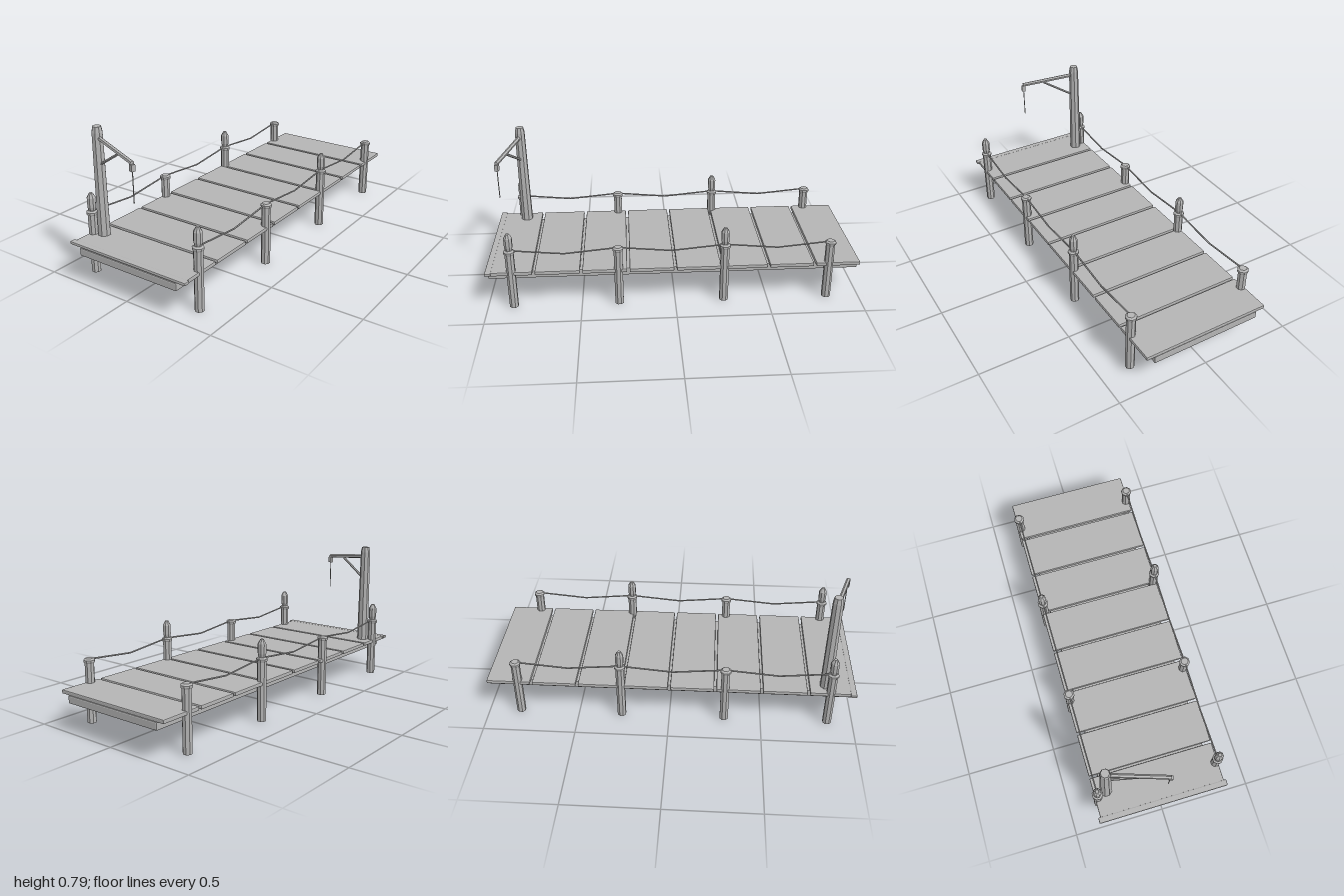
import * as THREE from 'three';
import { RoundedBoxGeometry } from 'three/addons/geometries/RoundedBoxGeometry.js';

export function createModel() {
  const model = new THREE.Group();
  model.name = 'dock';
  const wood = new THREE.MeshStandardMaterial({ color: 0xb4b4b4, flatShading: true });
  wood.name = 'grey wood';

  const add = (name, geometry, x = 0, y = 0, z = 0, parent = model) => {
    const mesh = new THREE.Mesh(geometry, wood);
    mesh.name = name;
    mesh.position.set(x, y, z);
    parent.add(mesh);
    return mesh;
  };
  const box = (name, w, h, d, x, y, z, bevel) =>
    add(name, new RoundedBoxGeometry(w, h, d, 1, bevel), x, y, z);

  // Eight-sided turned piece, flat face to the front
  const turned = (name, profile, x, z, parent) => add(name, new THREE.LatheGeometry(
    profile.map(([r, y]) => new THREE.Vector2(r, y)), 8, Math.PI / 8), x, 0, z, parent);

  // Straight bar between two points
  const bar = (name, a, b, radius, sides = 6) => {
    const from = new THREE.Vector3(...a), to = new THREE.Vector3(...b);
    const dir = to.clone().sub(from);
    const mesh = add(name, new THREE.CylinderGeometry(radius, radius, dir.length(), sides));
    mesh.position.copy(from).add(to).multiplyScalar(0.5);
    mesh.quaternion.setFromUnitVectors(new THREE.Vector3(0, 1, 0), dir.normalize());
    return mesh;
  };

  // Deck: supporting slab, eight planks and the wider front edge
  box('underDeck', 0.608, 0.042, 1.985, 0, 0.172, 0, 0.006);
  for (let i = 0; i < 8; i++) {
    box('plank', 0.7, 0.021, 0.236, 0, 0.2035, -0.875 + i * 0.2495, 0.005);
  }
  box('frontEdge', 0.724, 0.016, 0.033, 0, 0.208, 0.983, 0.005);

  // Posts on both sides; every second one carries a finial
  const postZ = [-0.825, -0.263, 0.3, 0.863];
  const postX = 0.334;
  for (const side of [-1, 1]) {
    postZ.forEach((z, i) => {
      const post = new THREE.Group();
      post.name = 'post';
      model.add(post);
      turned('postShaft', [[0, 0], [0.0245, 0], [0.0245, 0.325], [0, 0.325]], side * postX, z, post);
      turned('postCollar', [[0, 0.317], [0.026, 0.317], [0.03, 0.324], [0.03, 0.333],
        [0.02, 0.341], [0, 0.341]], side * postX, z, post);
      if (i % 2) {
        turned('postFinial', [[0.017, 0.338], [0.0225, 0.36], [0.0225, 0.41],
          [0.009, 0.434], [0, 0.434]], side * postX, z, post);
      }
      // Sagging rope to the next post
      if (i < 3) {
        const next = postZ[i + 1], mid = (z + next) / 2;
        bar('railRope', [side * postX, 0.336, z], [side * postX, 0.309, mid], 0.0045);
        bar('railRope', [side * postX, 0.309, mid], [side * postX, 0.336, next], 0.0045);
      }
    });
  }

  // Crane: mast, boom, brace, pulley block and hanging rope
  turned('craneMast', [[0, 0.2], [0.033, 0.2], [0.028, 0.755], [0.022, 0.785], [0, 0.785]],
    -0.282, 0.84);
  bar('craneBoom', [-0.275, 0.729, 0.842], [0.025, 0.694, 0.935], 0.0115);
  bar('craneBrace', [-0.27, 0.593, 0.844], [-0.1, 0.697, 0.896], 0.007);
  const block = add('pulleyBlock', new THREE.BoxGeometry(0.022, 0.034, 0.02), 0.023, 0.671, 0.934);
  block.rotation.y = -0.3;
  bar('hangingRope', [0.023, 0.495, 0.934], [0.023, 0.66, 0.934], 0.0025);

  return model;
}
